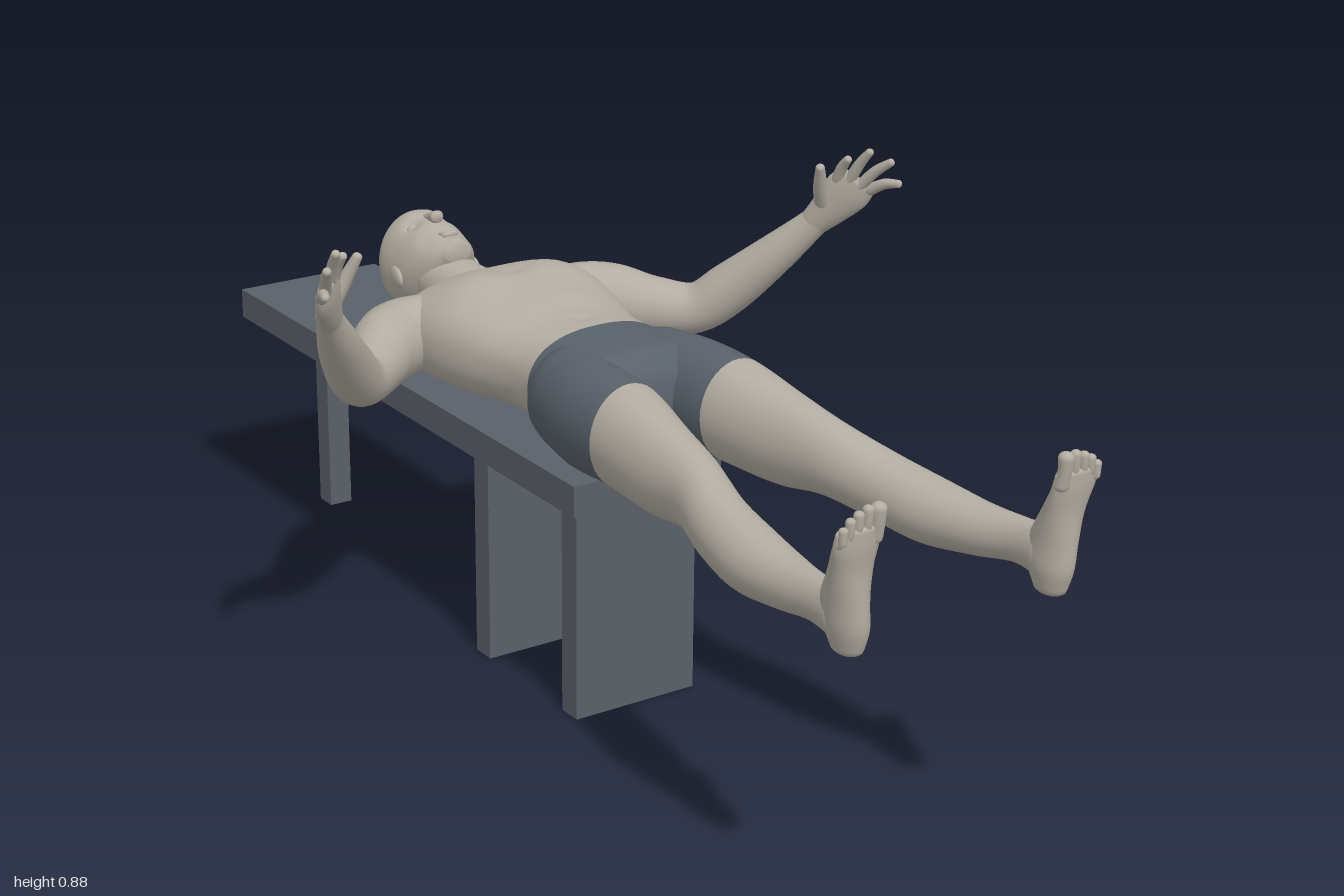
import * as THREE from 'three';

const V = (x, y, z) => new THREE.Vector3(x, y, z);
const mat = (name, color) => Object.assign(new THREE.MeshStandardMaterial({ color }), { name });

// Catmull-Rom blend of two cross-sections
const blend = (p0, p1, p2, p3, t) => p1.map((_, k) => 0.5 * (2 * p1[k] + (p2[k] - p0[k]) * t
  + (2 * p0[k] - 5 * p1[k] + 4 * p2[k] - p3[k]) * t * t
  + (3 * p1[k] - p0[k] - 3 * p2[k] + p3[k]) * t * t * t));

// Smooth skin over sections [x, y, z, halfWidth, halfHeight], with rounded ends.
// dir fixes the section normal; cut is the section where the second material starts.
function loft(sections, { side = [1, 0, 0], dir, cut = Infinity, cap = 0.8, pow = 2, seg = 28, steps = 6 } = {}) {
  const n = sections.length, S = i => sections[Math.max(0, Math.min(n - 1, i))];
  const rings = [];
  for (let i = 0; i < n - 1; i++)
    for (let s = 0; s < steps; s++) rings.push(blend(S(i - 1), S(i), S(i + 1), S(i + 2), s / steps));
  rings.push(S(n - 1));
  const center = r => V(r[0], r[1], r[2]);
  const frames = rings.map((r, i) => {
    const T = dir ? V(...dir) : center(rings[Math.min(i + 1, rings.length - 1)]).sub(center(rings[Math.max(i - 1, 0)]));
    return { c: center(r), T: T.normalize(), w: r[3], h: r[4] };
  });
  const endCap = (f, sign) => [1, 2, 3, 4].map(k => {
    const a = k * Math.PI / 8, q = Math.max(Math.cos(a), 0.002);
    return { c: f.c.clone().addScaledVector(f.T, sign * Math.sin(a) * cap * Math.min(f.w, f.h)), T: f.T, w: f.w * q, h: f.h * q };
  });
  const all = [...endCap(frames[0], -1).reverse(), ...frames, ...endCap(frames[frames.length - 1], 1)];
  const sp = v => Math.sign(v) * Math.abs(v) ** (2 / pow);
  const pos = [], index = [];
  for (const f of all) {
    const A = V(...side);
    A.addScaledVector(f.T, -A.dot(f.T)).normalize();
    const B = f.T.clone().cross(A);
    for (let j = 0; j < seg; j++) {
      const t = j / seg * Math.PI * 2;
      const p = f.c.clone().addScaledVector(A, f.w * sp(Math.cos(t))).addScaledVector(B, f.h * sp(Math.sin(t)));
      pos.push(p.x, p.y, p.z);
    }
  }
  for (let i = 0; i < all.length - 1; i++)
    for (let j = 0; j < seg; j++) {
      const k = (j + 1) % seg, a = i * seg + j, b = i * seg + k;
      index.push(a, b, a + seg, b, b + seg, a + seg);
    }
  const g = new THREE.BufferGeometry();
  g.setAttribute('position', new THREE.Float32BufferAttribute(pos, 3));
  g.setIndex(index);
  if (cut < n) {
    const at = (4 + cut * steps) * seg * 6;
    g.addGroup(0, at, 0);
    g.addGroup(at, index.length - at, 1);
  }
  g.computeVertexNormals();
  return g;
}

// Push the surface around points [x, y, z, radius, dy], on both sides
function sculpt(g, bumps) {
  const p = g.attributes.position;
  for (let i = 0; i < p.count; i++) {
    const v = V().fromBufferAttribute(p, i);
    let dy = 0;
    for (const [x, y, z, r, d] of bumps)
      dy += d * Math.exp(-((Math.abs(v.x) - x) ** 2 + (v.y - y) ** 2 + (v.z - z) ** 2) / (r * r));
    p.setY(i, v.y + dy);
  }
  g.computeVertexNormals();
  return g;
}

export function createModel() {
  const root = new THREE.Group();
  const skin = mat('skin', 0xb3ada2), cloth = mat('shorts cloth', 0x59616a), wood = mat('bench paint', 0x5a6068);
  const add = (name, g, m = skin, parent = root) => {
    const mesh = new THREE.Mesh(g, m);
    mesh.name = name;
    parent.add(mesh);
    return mesh;
  };
  const blob = (name, p, r) => {
    const m = add(name, new THREE.SphereGeometry(1, 20, 14));
    m.position.set(...p);
    m.scale.set(...r);
    return m;
  };

  // Bench: slab, two wide plate legs and a single post
  const bench = new THREE.Group();
  bench.name = 'bench';
  root.add(bench);
  const box = (name, w, y0, y1, z0, z1) =>
    add(name, new THREE.BoxGeometry(w, y1 - y0, z1 - z0), wood, bench).position.set(0, (y0 + y1) / 2, (z0 + z1) / 2);
  box('benchTop', 0.29, 0.385, 0.44, -1, 0.18);
  box('frontPlateLeg', 0.236, 0, 0.385, 0.1, 0.145);
  box('middlePlateLeg', 0.236, 0, 0.385, -0.18, -0.135);
  box('rearPostLeg', 0.045, 0, 0.385, -0.94, -0.897);

  // Torso with the upper part of the shorts
  const torso = loft([
    [0, 0.57, -0.378, 0.1, 0.045], [0, 0.563, -0.35, 0.165, 0.068], [0, 0.56, -0.3, 0.185, 0.093],
    [0, 0.563, -0.22, 0.182, 0.1], [0, 0.563, -0.15, 0.168, 0.096], [0, 0.56, -0.05, 0.141, 0.085],
    [0, 0.555, 0.03, 0.139, 0.09], [0, 0.548, 0.1, 0.162, 0.096], [0, 0.55, 0.16, 0.155, 0.09], [0, 0.55, 0.19, 0.11, 0.07],
  ], { dir: [0, 0, 1], cut: 6, cap: 0.3, pow: 2.4, seg: 64, steps: 8 });
  add('torso', sculpt(torso, [
    [0.085, 0.66, -0.235, 0.065, 0.012], [0, 0.665, -0.25, 0.02, -0.007], [0, 0.65, -0.08, 0.03, -0.004],
    [0.04, 0.645, -0.1, 0.03, 0.004], [0, 0.645, -0.02, 0.013, -0.006], [0, 0.46, -0.2, 0.03, 0.008], [0, 0.45, 0.1, 0.03, 0.014],
  ]), [skin, cloth]);

  // Neck and head
  add('neck', loft([[0, 0.565, -0.33, 0.085, 0.06], [0, 0.575, -0.38, 0.066, 0.055], [0, 0.58, -0.42, 0.057, 0.053],
    [0, 0.585, -0.47, 0.056, 0.055]], { dir: [0, 0, -1] }));
  const head = loft([
    [0, 0.642, -0.425, 0.028, 0.022], [0, 0.62, -0.45, 0.048, 0.05], [0, 0.601, -0.49, 0.064, 0.08],
    [0, 0.593, -0.53, 0.071, 0.092], [0, 0.593, -0.58, 0.072, 0.09], [0, 0.593, -0.612, 0.053, 0.065], [0, 0.593, -0.624, 0.032, 0.04],
  ], { dir: [0, 0, -1], cap: 0.3, seg: 64, steps: 10 });
  add('head', sculpt(head, [
    [0.03, 0.675, -0.533, 0.016, -0.01], [0.025, 0.68, -0.556, 0.018, 0.004], [0, 0.67, -0.425, 0.018, 0.006],
    [0.035, 0.66, -0.475, 0.016, -0.004], [0, 0.68, -0.445, 0.01, -0.004],
  ]));
  add('nose', loft([[0, 0.676, -0.545, 0.007, 0.008], [0, 0.686, -0.52, 0.008, 0.01], [0, 0.692, -0.498, 0.013, 0.012]],
    { dir: [0, 0, 1], cap: 0.5 }));
  blob('upperLip', [0, 0.674, -0.461, ], [0.019, 0.007, 0.005]);
  blob('lowerLip', [0, 0.672, -0.452], [0.016, 0.007, 0.005]);

  // Paired parts
  for (const [s, tag] of [[1, 'left'], [-1, 'right']]) {
    const flip = list => list.map(([x, ...rest]) => [x * s, ...rest]);
    const part = (name, list, o = {}, m) => {
      const [x, y, z] = o.side || [1, 0, 0];
      add(tag + name, loft(flip(list), { ...o, side: [x * s, y, z] }), m);
    };
    blob(tag + 'Eye', [0.029 * s, 0.662, -0.533], [0.012, 0.011, 0.008]);
    blob(tag + 'Ear', [0.074 * s, 0.587, -0.518], [0.008, 0.019, 0.031]).rotation.y = 0.2 * s;

    // Leg, with the shorts covering the thigh
    part('Leg', [
      [0.088, 0.55, 0.08, 0.074, 0.088], [0.1, 0.55, 0.17, 0.077, 0.093], [0.105, 0.552, 0.278, 0.074, 0.088],
      [0.117, 0.541, 0.4, 0.06, 0.078], [0.128, 0.539, 0.5, 0.049, 0.062], [0.152, 0.522, 0.6, 0.051, 0.055],
      [0.167, 0.512, 0.7, 0.053, 0.052], [0.178, 0.516, 0.8, 0.042, 0.042], [0.187, 0.525, 0.88, 0.029, 0.036],
      [0.188, 0.525, 0.935, 0.029, 0.042],
    ], { dir: [0, 0, 1], cut: 2, seg: 40 }, [cloth, skin]);

    // Foot, sole facing forward and toes up
    part('Foot', [
      [0.186, 0.478, 0.95, 0.021, 0.03], [0.187, 0.51, 0.947, 0.028, 0.042], [0.19, 0.55, 0.947, 0.03, 0.042],
      [0.193, 0.6, 0.96, 0.034, 0.028], [0.196, 0.64, 0.974, 0.039, 0.018], [0.196, 0.667, 0.98, 0.039, 0.013],
    ], { dir: [0, 1, 0], cap: 0.6 });
    [[0.168, 0.695, 0.012], [0.186, 0.697, 0.0085], [0.202, 0.692, 0.008], [0.216, 0.685, 0.0075], [0.228, 0.674, 0.007]]
      .forEach(([x, y, r], i) => part('Toe' + (i + 1),
        [[x, 0.65, 0.98, r, r], [x, y - 0.02, 0.986, r * 0.9, r * 0.9], [x, y, 0.987, r, r]], { seg: 12, dir: [0, 1, 0] }));

    // Arm bent upward at the elbow
    part('Arm', [
      [0.11, 0.565, -0.3, 0.055, 0.062], [0.185, 0.56, -0.303, 0.066, 0.066], [0.235, 0.557, -0.272, 0.064, 0.06],
      [0.285, 0.55, -0.225, 0.053, 0.053], [0.338, 0.553, -0.172, 0.045, 0.045], [0.38, 0.596, -0.128, 0.045, 0.043],
      [0.43, 0.663, -0.07, 0.036, 0.035], [0.472, 0.726, -0.018, 0.026, 0.021], [0.482, 0.745, -0.004, 0.026, 0.02],
    ], { side: [0.71, -0.25, 0.66] });

    // Hand with spread fingers
    const across = [0.71, -0.25, 0.66];
    part('Palm', [[0.474, 0.73, -0.015, 0.026, 0.02], [0.487, 0.757, 0.008, 0.033, 0.018],
      [0.502, 0.79, 0.034, 0.041, 0.015], [0.511, 0.812, 0.049, 0.038, 0.011]], { side: across });
    [['Index', -0.029, [0.486, 0.857, 0.058]], ['Middle', -0.009, [0.512, 0.872, 0.084]],
      ['Ring', 0.011, [0.54, 0.855, 0.107]], ['Little', 0.03, [0.55, 0.818, 0.117]]].forEach(([name, o, tip]) => {
      const base = [0.508, 0.806, 0.046].map((v, k) => v + across[k] * o);
      const mid = base.map((v, k) => (v + tip[k]) / 2 + (k === 1 ? 0.005 : 0));
      part(name + 'Finger', [[...base, 0.0105, 0.01], [...mid, 0.0095, 0.009], [...tip, 0.007, 0.007]], { side: across, seg: 14 });
    });
    part('Thumb', [[0.481, 0.758, 0.003, 0.017, 0.014], [0.462, 0.8, 0.015, 0.013, 0.012], [0.447, 0.842, 0.032, 0.008, 0.008]],
      { side: across, seg: 16 });
  }
  return root;
}
